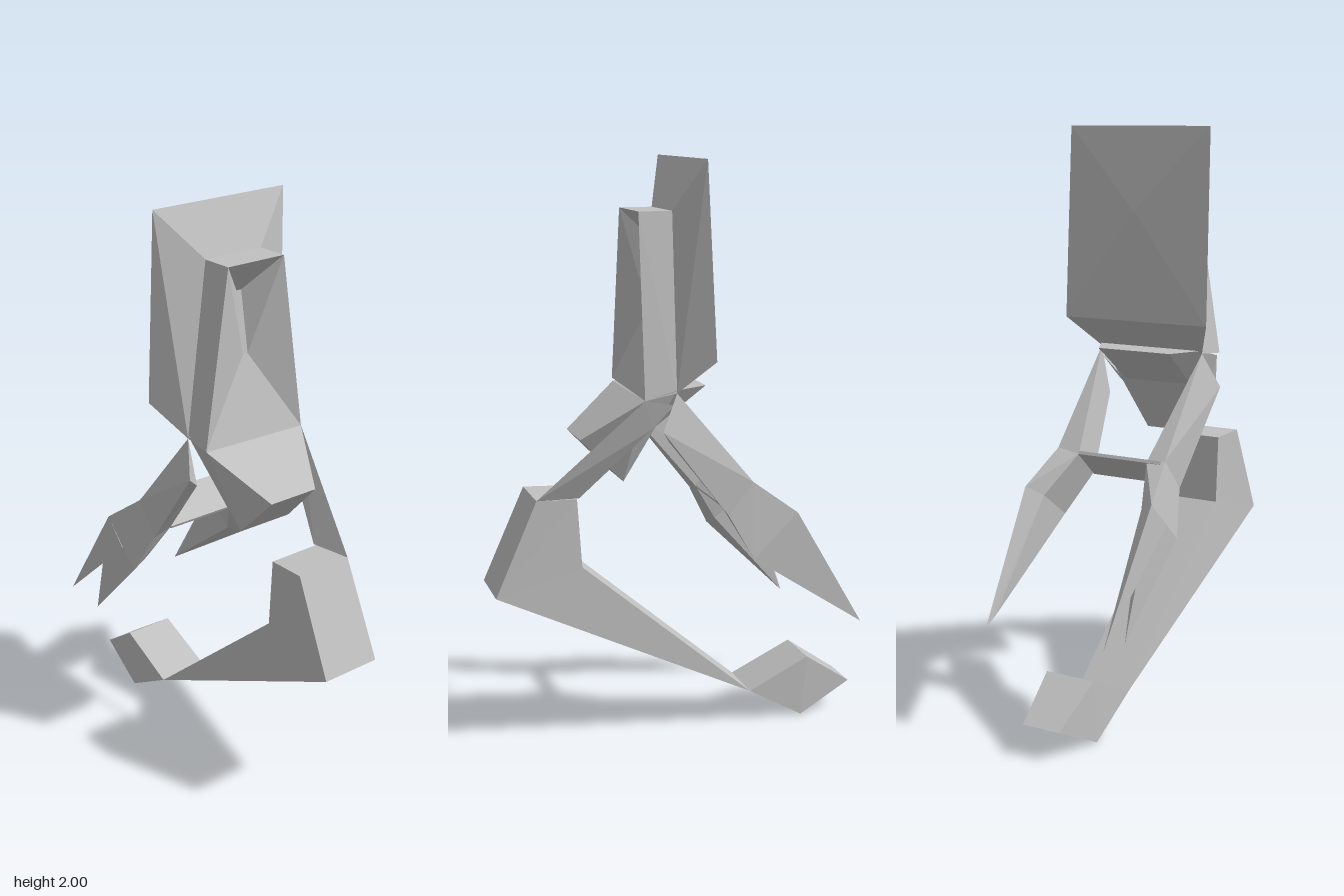
import * as THREE from 'three';
import { ConvexGeometry } from 'three/addons/geometries/ConvexGeometry.js';

const grey = new THREE.MeshStandardMaterial({ color: 0xc0c0c0, flatShading: true, side: THREE.DoubleSide });
grey.name = 'plain grey';

export function createModel() {
  const model = new THREE.Group();
  model.name = 'leggedMachine';

  const add = (name, geometry) => {
    const mesh = new THREE.Mesh(geometry, grey);
    mesh.name = name;
    model.add(mesh);
  };
  // Convex faceted block through a few corner points
  const hull = (name, pts) => add(name, new ConvexGeometry(pts.map((p) => new THREE.Vector3(...p))));
  // Mirrored corner pairs
  const pairs = (list) => list.flatMap(([x, y, z]) => [[x, y, z], [-x, y, z]]);
  // Faceted surface from polygons, each fanned into triangles
  const facets = (name, polygons) => {
    const pos = [];
    for (const p of polygons)
      for (let i = 1; i < p.length - 1; i++) pos.push(...p[0], ...p[i], ...p[i + 1]);
    const g = new THREE.BufferGeometry();
    g.setAttribute('position', new THREE.Float32BufferAttribute(pos, 3));
    g.computeVertexNormals();
    add(name, g);
  };
  // Side profile of [z, y, halfWidth] points spanned across x
  const slab = (name, profile) => {
    const at = (i, s) => { const [z, y, w] = profile[i]; return [s * w, y, z]; };
    const tris = THREE.ShapeUtils.triangulateShape(profile.map(([z, y]) => new THREE.Vector2(z, y)), []);
    const polys = [];
    for (const [a, b, c] of tris) {
      polys.push([at(a, 1), at(c, 1), at(b, 1)], [at(a, -1), at(b, -1), at(c, -1)]);
    }
    profile.forEach((_, i) => {
      const j = (i + 1) % profile.length;
      polys.push([at(i, -1), at(i, 1), at(j, 1), at(j, -1)]);
    });
    facets(name, polys);
  };

  // Foot and hooked lower leg
  slab('foot', [[-0.26, 0.115, 0.095], [-0.46, 0, 0.09], [-0.655, 0.1, 0.07], [-0.48, 0.22, 0.092]]);
  slab('lowerLeg', [[0.51, 0.885, 0.105], [0.37, 0.88, 0.1], [0.355, 0.64, 0.1],
    [-0.26, 0.115, 0.095], [0.655, 0.56, 0.11]]);

  // Thigh block, hip shelf and the single side strut down to the lower leg
  hull('thigh', pairs([[0.2, 1.22, 0.16], [0.2, 1.25, 0.05], [0.095, 1.08, 0.355], [0.105, 0.93, 0.21]]));
  hull('hipShelf', pairs([[0.2, 1.25, 0.05], [0.14, 1.25, -0.07], [0.13, 1.12, 0.1]]));
  hull('sideStrut', [[0.2, 1.22, 0.16], [0.2, 1.2, 0.06], [0.18, 1.12, 0.13],
    [0.105, 0.885, 0.51], [0.09, 0.88, 0.36]]);

  // Tall back shell
  hull('backShell', [[0, 1.72, -0.067], ...pairs([[0.268, 2, -0.03], [0.275, 1.35, -0.063],
    [0.2, 1.24, 0.05], [0.115, 1.83, 0.04]])]);

  // Core with a recessed front
  const hipL = [0.2, 1.22, 0.16], hipR = [-0.21, 1.23, 0.16];
  const topL = [0.115, 1.83, 0.155], topR = [-0.115, 1.83, 0.155];
  const backL = [0.115, 1.83, 0.04], backR = [-0.115, 1.83, 0.04];
  const rearL = [0.2, 1.24, 0.05], rearR = [-0.2, 1.24, 0.05];
  const inTopL = [0.02, 1.71, 0.055], inTopR = [0, 1.71, 0.055];
  const inLowL = [0.02, 1.5, 0.09], inLowR = [0, 1.5, 0.09];
  facets('core', [
    [topR, topL, backL, backR],
    [topL, hipL, rearL, backL],
    [topR, backR, rearR, hipR],
    [topR, inTopR, inTopL, topL],
    [topL, inTopL, inLowL, hipL],
    [topR, hipR, inLowR, inTopR],
    [inTopR, inLowR, inLowL, inTopL],
    [hipR, hipL, inLowL, inLowR],
    [hipR, rearR, rearL, hipL],
  ]);

  // Rear limbs: upper, knee and pointed end, each hulled between cross-sections
  for (const s of [1, -1]) {
    const side = s > 0 ? 'left' : 'right';
    const m = (pts) => pts.map(([x, y, z]) => [s * x, y, z]);
    const inner = s > 0 ? 0.12 : 0.145;
    const hip = m([[0.2, 1.24, 0.05], [0.24, 1.12, 0.11], [0.18, 1.07, 0.07]]);
    const knee = m([[0.21, 0.92, -0.22], [0.215, 0.81, -0.13], [inner, 0.91, -0.23], [inner, 0.83, -0.13]]);
    const shin = m([[0.245, 0.81, -0.37], [0.25, 0.66, -0.21], [0.19, 0.78, -0.34], [0.185, 0.69, -0.22]]);
    hull(side + 'RearUpper', [...hip, ...knee]);
    hull(side + 'RearKnee', [...knee, ...shin]);
    if (s > 0) {
      hull('leftRearPoint', [...shin, [0.235, 0.39, -0.62], [0.225, 0.42, -0.58]]);
    } else {
      // Forked end
      hull('rightRearUpperProng', [shin[0], shin[2], [-0.25, 0.72, -0.28], [-0.235, 0.4, -0.65]]);
      hull('rightRearLowerProng', [...shin, [-0.222, 0.375, -0.5]]);
    }
  }

  // Sloping bar joining the rear knees
  hull('crossbar', [[-0.2, 0.92, -0.23], [0.12, 0.92, -0.23], [-0.14, 0.83, -0.13], [0.12, 0.83, -0.13],
    [-0.2, 0.91, -0.235], [0.12, 0.91, -0.235], [-0.14, 0.82, -0.135], [0.12, 0.82, -0.135]]);

  return model;
}
